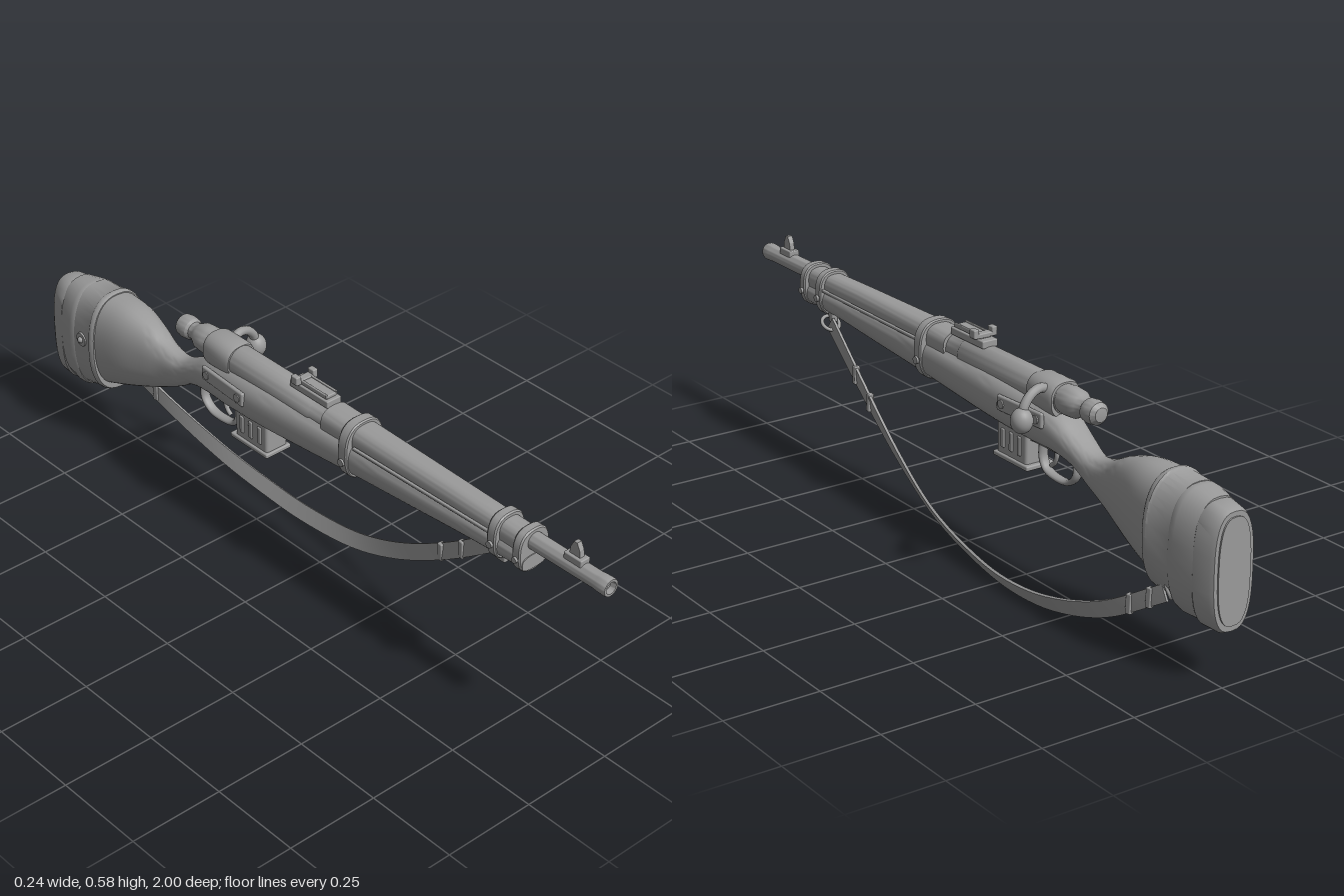
import * as THREE from 'three';
import { toCreasedNormals } from 'three/addons/utils/BufferGeometryUtils.js';
import { RoundedBoxGeometry } from 'three/addons/geometries/RoundedBoxGeometry.js';

const V = (x, y, z) => new THREE.Vector3(x, y, z);
const grey = new THREE.MeshStandardMaterial({ color: 0x9b9b9b });
grey.name = 'grey';

// Closed skin over rings of points, counter-clockwise seen from the first ring
function skin(rings, crease = 0.6) {
  const n = rings[0].length, last = rings.length - 1, pos = [], idx = [];
  rings.forEach(r => r.forEach(p => pos.push(p.x, p.y, p.z)));
  for (let i = 0; i < last; i++) for (let j = 0; j < n; j++) {
    const a = i * n + j, b = i * n + (j + 1) % n;
    idx.push(a, a + n, b, b, a + n, b + n);
  }
  for (let j = 1; j < n - 1; j++) {
    idx.push(0, j, j + 1);
    idx.push(last * n, last * n + j + 1, last * n + j);
  }
  const g = new THREE.BufferGeometry();
  g.setAttribute('position', new THREE.Float32BufferAttribute(pos, 3));
  g.setIndex(idx);
  return toCreasedNormals(g, crease);
}

// Superellipse sections [z, half width, top, bottom], listed from front to back
function loft(sections, power = 2.4, smooth = false) {
  let list = sections;
  if (smooth) {
    const c = k => new THREE.CatmullRomCurve3(sections.map(s => V(s[0], s[k], 0)));
    const curves = [1, 2, 3].map(c), steps = (sections.length - 1) * 4;
    list = Array.from({ length: steps + 1 }, (_, i) => {
      const p = curves.map(q => q.getPoint(i / steps));
      return [p[0].x, p[0].y, p[1].y, p[2].y];
    });
  }
  const f = v => Math.sign(v) * Math.abs(v) ** (2 / power);
  return skin(list.map(([z, w, top, bot]) => Array.from({ length: 36 }, (_, j) => {
    const t = j / 36 * Math.PI * 2;
    return V(w * f(Math.cos(t)), (top + bot) / 2 + (top - bot) / 2 * f(Math.sin(t)), z);
  })));
}

// Turned part along z from [radius, z] points running front to back
function turned(points, y) {
  const g = new THREE.LatheGeometry(points.map(([r, z]) => new THREE.Vector2(r, z)).reverse(), 32);
  g.rotateX(Math.PI / 2).translate(0, y, 0);
  return toCreasedNormals(g, 0.6);
}

export function createModel() {
  const root = new THREE.Group();
  root.name = 'rifle';
  const body = new THREE.Group();
  body.name = 'body';
  body.position.x = -0.024;
  root.add(body);
  const add = (name, geo, x = 0, y = 0, z = 0, parent = body) => {
    const m = new THREE.Mesh(geo, grey);
    m.name = name;
    m.position.set(x, y, z);
    parent.add(m);
    return m;
  };
  const box = (w, h, d, r = 0.003) => new RoundedBoxGeometry(w, h, d, 2, r);
  const tube = (pts, r) => new THREE.TubeGeometry(new THREE.CatmullRomCurve3(pts), 28, r, 12);

  // Wooden stock, forend and wrist
  add('stock', loft([
    [0.755, 0.04, 0.492, 0.432], [0.6, 0.043, 0.495, 0.425], [0.4, 0.048, 0.498, 0.41],
    [0.18, 0.055, 0.5, 0.395], [0, 0.061, 0.5, 0.38], [-0.15, 0.066, 0.497, 0.37],
    [-0.28, 0.062, 0.485, 0.364], [-0.37, 0.053, 0.462, 0.362], [-0.44, 0.042, 0.422, 0.347],
    [-0.5, 0.036, 0.395, 0.31], [-0.56, 0.039, 0.405, 0.278], [-0.62, 0.053, 0.433, 0.25],
    [-0.7, 0.073, 0.455, 0.218], [-0.79, 0.085, 0.457, 0.185]], 2.4, true));
  add('upperHandguard', loft([
    [0.755, 0.034, 0.53, 0.46], [0.5, 0.036, 0.535, 0.46], [0.2, 0.042, 0.537, 0.46],
    [0.08, 0.045, 0.537, 0.46]], 2.6));

  // Padded butt cover in steps, then the butt plate
  add('buttCover', loft([
    [-0.778, 0.088, 0.46, 0.172], [-0.784, 0.092, 0.463, 0.168], [-0.794, 0.092, 0.463, 0.166],
    [-0.8, 0.088, 0.459, 0.166], [-0.87, 0.085, 0.456, 0.146]]));
  add('buttMiddle', loft([
    [-0.864, 0.084, 0.452, 0.146], [-0.87, 0.087, 0.454, 0.142], [-0.885, 0.087, 0.453, 0.139],
    [-0.94, 0.072, 0.443, 0.137]], 2.5));
  add('buttPad', loft([
    [-0.932, 0.068, 0.437, 0.136], [-0.94, 0.072, 0.438, 0.132], [-0.985, 0.062, 0.432, 0.13],
    [-0.996, 0.056, 0.427, 0.136]], 2.8));
  add('buttPlate', loft([[-0.99, 0.046, 0.415, 0.15], [-1, 0.046, 0.415, 0.15]], 2.8));
  const disc = new THREE.CylinderGeometry(0.019, 0.022, 0.012, 20).rotateZ(Math.PI / 2);
  add('buttDisc', disc, -0.084, 0.33, -0.83);
  add('buttDiscCentre', new THREE.SphereGeometry(0.009, 14, 10), -0.09, 0.33, -0.83);

  // Barrel with muzzle
  add('barrel', turned([[0, 0.985], [0.014, 0.985], [0.016, 1], [0.022, 1], [0.024, 0.993],
    [0.023, 0.97], [0.022, 0.96], [0.023, 0.7], [0, 0.7]], 0.508));

  // Receiver, bolt and cocking knob
  add('receiver', turned([[0, 0.1], [0.034, 0.1], [0.038, 0.08], [0.038, 0.03], [0.041, 0.025],
    [0.041, -0.36], [0.037, -0.372], [0.03, -0.375], [0, -0.375]], 0.496));
  add('receiverBridge', loft([[-0.27, 0.044, 0.538, 0.45], [-0.28, 0.047, 0.541, 0.45],
    [-0.36, 0.047, 0.541, 0.45], [-0.37, 0.043, 0.538, 0.45]], 2.5));
  add('boltSleeve', turned([[0, -0.36], [0.034, -0.36], [0.038, -0.39], [0.036, -0.42],
    [0.028, -0.435], [0.023, -0.445], [0.023, -0.455], [0.029, -0.462], [0.031, -0.48],
    [0.028, -0.498], [0.018, -0.508], [0, -0.511]], 0.498));
  add('boltHandle', tube([V(-0.01, 0.505, -0.335), V(0.025, 0.525, -0.338), V(0.055, 0.518, -0.342),
    V(0.078, 0.495, -0.345), V(0.088, 0.465, -0.347)], 0.012), 0, 0, 0, root);
  const ball = add('boltBall', new THREE.SphereGeometry(0.028, 24, 16), 0.088, 0.458, -0.347, root);
  ball.scale.y = 1.15;

  // Barrel bands
  const band = (name, z, w, top, bot, d) => {
    add(name, loft([[z + d, w - 0.003, top - 0.003, bot + 0.003], [z + d - 0.004, w, top, bot],
      [z - d + 0.004, w, top, bot], [z - d, w - 0.003, top - 0.003, bot + 0.003]], 2.6));
  };
  band('middleBand', 0.175, 0.062, 0.546, 0.387, 0.016);
  band('frontBand', 0.67, 0.049, 0.542, 0.419, 0.014);
  band('noseBand', 0.75, 0.048, 0.541, 0.425, 0.013);
  add('noseCap', loft([[0.765, 0.039, 0.472, 0.433], [0.745, 0.041, 0.475, 0.43]], 3));
  add('bandLug', box(0.03, 0.025, 0.03), 0, 0.418, 0.67);

  // Side plates and screws, mirrored
  for (const s of [-1, 1]) {
    const plate = add('sidePlate', box(0.012, 0.04, 0.17, 0.005), s * 0.061, 0.446, -0.27);
    plate.rotation.y = s * 0.06;
    for (const [x, y, z, r] of [[0.068, 0.446, -0.205, 0.011], [0.06, 0.446, -0.335, 0.011],
      [0.061, 0.445, 0.175, 0.01], [0.049, 0.47, 0.67, 0.009], [0.048, 0.47, 0.75, 0.008]]) {
      add('screw', new THREE.CylinderGeometry(r, r, 0.012, 14).rotateZ(Math.PI / 2), s * x, y, z);
    }
    // Long groove lips between handguard and forend
    const lip = add('forendLip', box(0.008, 0.009, 0.46), s * 0.043, 0.492, 0.43);
    lip.rotation.y = -s * 0.018;
  }

  // Rear sight
  add('rearSightBase', box(0.046, 0.02, 0.14), 0, 0.543, 0.01);
  add('rearSightLeaf', box(0.032, 0.01, 0.11), 0, 0.557, 0.015);
  add('rearSightBar', box(0.068, 0.012, 0.022), 0, 0.56, -0.03);
  for (const s of [-1, 1]) {
    add('rearSightEar', box(0.016, 0.022, 0.022), s * 0.027, 0.567, -0.03);
    add('rearSightRail', box(0.006, 0.012, 0.1, 0.002), s * 0.016, 0.56, 0.02);
  }

  // Front sight: saddle and rounded blade
  add('frontSightBase', box(0.03, 0.026, 0.055), 0, 0.529, 0.892);
  const blade = new THREE.Shape([[-0.017, 0], [0.017, 0], [0.014, 0.022], [0.005, 0.04],
    [-0.005, 0.04], [-0.014, 0.022]].map(p => new THREE.Vector2(...p)));
  const bladeGeo = new THREE.ExtrudeGeometry(blade, { depth: 0.014, bevelEnabled: false });
  add('frontSightBlade', bladeGeo.translate(0, 0, -0.007).rotateY(Math.PI / 2), 0, 0.538, 0.892);

  // Magazine with ribs and floor plate
  add('magazine', box(0.068, 0.1, 0.122, 0.008), 0, 0.335, -0.197);
  add('magazinePlate', box(0.082, 0.013, 0.142, 0.004), 0, 0.291, -0.2);
  for (const s of [-1, 1]) for (let i = 0; i < 3; i++) {
    add('magazineRib', box(0.008, 0.05, 0.014), s * 0.034, 0.338, -0.163 - i * 0.034);
  }

  // Trigger and guard
  const guard = add('triggerGuard', tube([V(0, 0.37, -0.285), V(0, 0.32, -0.283), V(0, 0.294, -0.3),
    V(0, 0.284, -0.345), V(0, 0.289, -0.39), V(0, 0.315, -0.418), V(0, 0.362, -0.42)], 0.008));
  guard.scale.x = 1.7;
  add('trigger', tube([V(0, 0.37, -0.335), V(0, 0.34, -0.338), V(0, 0.318, -0.328), V(0, 0.308, -0.315)], 0.006));
  add('guardPlate', box(0.042, 0.014, 0.2), 0, 0.365, -0.34);

  // Sling: a flat strap hanging out to the left side
  const path = new THREE.CatmullRomCurve3([
    V(0.012, 0.41, 0.625), V(0.026, 0.27, 0.434), V(0.045, 0.155, 0.246), V(0.066, 0.075, 0.06),
    V(0.085, 0.032, -0.155), V(0.096, 0.023, -0.315), V(0.095, 0.037, -0.476),
    V(0.08, 0.09, -0.663), V(0.042, 0.188, -0.84)]);
  const frame = t => {
    const p = path.getPoint(t), T = path.getTangent(t);
    const tilt = 0.55 * Math.sin(Math.PI * t);
    const N = V(Math.cos(tilt), -Math.sin(tilt), 0);
    N.addScaledVector(T, -N.dot(T)).normalize();
    return { p, T, N, W: V(0, 0, 0).crossVectors(T, N) };
  };
  const rings = Array.from({ length: 41 }, (_, i) => {
    const { p, N, W } = frame(i / 40);
    return [[1, 1], [1, -1], [-1, -1], [-1, 1]].map(([a, b]) =>
      p.clone().addScaledVector(N, a * 0.0035).addScaledVector(W, b * 0.021));
  });
  add('sling', skin(rings), 0, 0, 0, root);
  for (const t of [0.09, 0.14, 0.93, 0.97]) {
    const { p, T, N, W } = frame(t);
    const m = add('slingBuckle', box(0.016, 0.05, 0.016), p.x, p.y, p.z, root);
    m.quaternion.setFromRotationMatrix(new THREE.Matrix4().makeBasis(N, W, T.clone().negate()));
  }

  // Sling swivels
  const ring = add('frontSwivel', new THREE.TorusGeometry(0.024, 0.005, 10, 28), 0.008, 0.408, 0.632, root);
  ring.rotation.x = 0.95;
  add('frontSwivelPost', box(0.018, 0.035, 0.02), 0, 0.428, 0.632, root);
  const rear = add('rearSwivel', new THREE.TorusGeometry(0.02, 0.005, 10, 28), 0.035, 0.195, -0.842, root);
  rear.rotation.set(0.6, 0.9, 0);
  return root;
}
